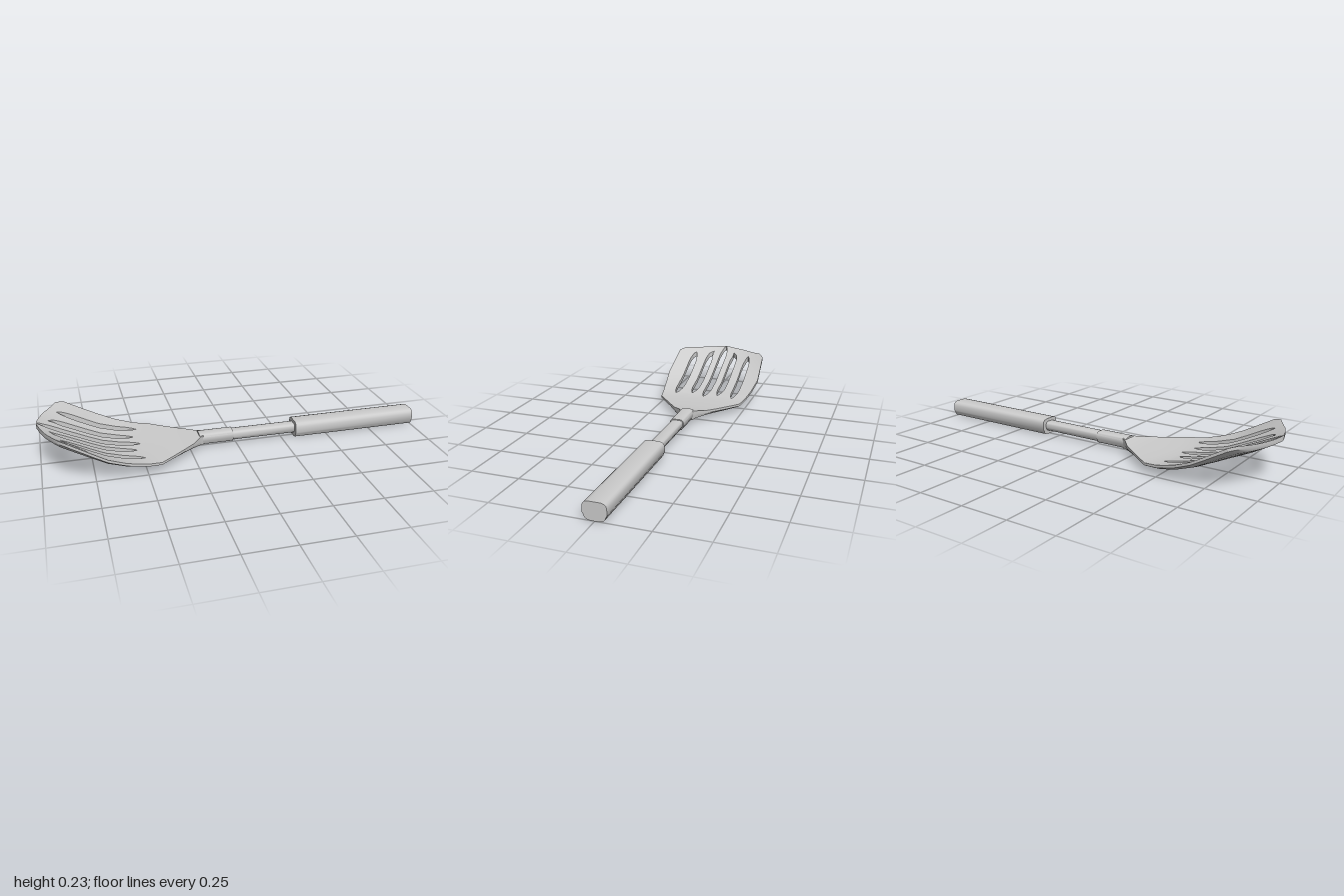
import * as THREE from 'three';
import { toCreasedNormals } from 'three/addons/utils/BufferGeometryUtils.js';

const material = new THREE.MeshStandardMaterial({ color: 0xcccccc, side: THREE.DoubleSide });

// Piecewise linear lookup in [[x, value], ...] with x falling
function lookup(table, x) {
  for (let i = 1; i < table.length; i++) {
    const [x0, v0] = table[i - 1], [x1, v1] = table[i];
    if (x >= x1) return v0 + (v1 - v0) * Math.min(1, Math.max(0, (x0 - x) / (x0 - x1)));
  }
  return table[table.length - 1][1];
}

// Blade rules along its length: half width, height of the centre line, thickness, side curl
const halfWidth = [[-0.19, 0.035], [-0.24, 0.09], [-0.43, 0.236], [-0.56, 0.26], [-0.69, 0.28],
  [-0.86, 0.268], [-0.9, 0.24], [-0.965, 0.125], [-0.985, 0.07], [-1, 0.015]];
const topHeight = [[-0.18, 0.071], [-0.25, 0.058], [-0.35, 0.053], [-0.5, 0.05], [-0.6, 0.062],
  [-0.7, 0.086], [-0.88, 0.168], [-0.945, 0.2], [-1, 0.227]];
const thickness = [[-0.18, 0.054], [-0.25, 0.025], [-0.43, 0.023], [-0.7, 0.026], [-0.9, 0.03], [-1, 0.025]];
const curl = [[-0.43, 0], [-0.69, 0.035], [-0.88, 0.06], [-1, 0.06]];
const stations = [-0.18, -0.2, -0.24, -0.3, -0.36, -0.43, -0.5, -0.525, -0.56, -0.6, -0.65, -0.69, -0.75,
  -0.8, -0.84, -0.86, -0.88, -0.9, -0.92, -0.945, -0.965, -0.985, -1];
const slots = [
  { z: -0.17, share: 0.7, start: -0.5, end: -0.9 },
  { z: -0.078, share: 0.4, start: -0.525, end: -0.945 },
  { z: 0, share: 0, start: -0.5, end: -1 },
  { z: 0.078, share: 0.4, start: -0.525, end: -0.945 },
  { z: 0.17, share: 0.7, start: -0.5, end: -0.9 },
];

function slotHalf(s, x) {
  const d = Math.min(s.start - x, x - s.end);
  return d <= 1e-6 ? 0 : 0.02 * Math.min(1, 0.3 + d / 0.1);
}

// Fingers between slots: [low z, high z] of each at one station
function fingers(x) {
  const edge = lookup(halfWidth, x), bounds = [-edge];
  for (const s of slots) {
    const c = Math.sign(s.z) * Math.min(Math.abs(s.z), edge * s.share);
    const w = Math.min(slotHalf(s, x), edge * 0.4);
    bounds.push(c - w, c + w);
  }
  bounds.push(edge);
  return slots.concat(0).map((_, i) => [bounds[2 * i], bounds[2 * i + 1]]);
}

function surface(x, z) {
  const edge = lookup(halfWidth, x);
  const top = lookup(topHeight, x) + lookup(curl, x) * (z / 0.27) ** 2;
  const rim = Math.abs(z) > edge - 1e-6 ? 0.55 : 1;
  return { t: [x, top, z], b: [x, top - lookup(thickness, x) * rim, z] };
}

function bladeGeometry() {
  const pos = [];
  const quad = (a, b, c, d) => pos.push(...a, ...b, ...c, ...a, ...c, ...d);
  const N = 3;
  for (let i = 0; i < stations.length - 1; i++) {
    const x0 = stations[i], x1 = stations[i + 1];
    const f0 = fingers(x0), f1 = fingers(x1);
    for (let k = 0; k < f0.length; k++) {
      const row = (x, [lo, hi]) => Array.from({ length: N + 1 }, (_, j) =>
        surface(x, j === N ? hi : lo + (hi - lo) * j / N));
      const r0 = row(x0, f0[k]), r1 = row(x1, f1[k]);
      for (let j = 0; j < N; j++) {
        quad(r0[j].t, r1[j].t, r1[j + 1].t, r0[j + 1].t);
        quad(r0[j].b, r0[j + 1].b, r1[j + 1].b, r1[j].b);
        if (i === stations.length - 2) quad(r1[j].t, r1[j].b, r1[j + 1].b, r1[j + 1].t);
      }
      // Walls only at the rim and where a slot is open
      const open = s => !s || slotHalf(s, x0) > 0 || slotHalf(s, x1) > 0;
      if (open(slots[k - 1])) quad(r0[0].t, r0[0].b, r1[0].b, r1[0].t);
      if (open(slots[k])) quad(r0[N].t, r1[N].t, r1[N].b, r0[N].b);
    }
  }
  const geo = new THREE.BufferGeometry();
  geo.setAttribute('position', new THREE.Float32BufferAttribute(pos, 3));
  return toCreasedNormals(geo, 0.5);
}

// Rounded bar along x with a flat-topped section
function bar(name, x0, x1, halfZ, y0, y1) {
  const half = [[0, 0], [0.4, 0.01], [0.72, 0.06], [0.84, 0.16], [0.9, 0.27], [1, 0.38],
    [1, 0.74], [0.93, 0.87], [0.8, 0.95], [0.52, 1]];
  const all = half.concat(half.slice(1).reverse().map(([u, v]) => [-u, v]));
  const shape = new THREE.Shape(all.map(([u, v]) => new THREE.Vector2(u * halfZ, y0 + v * (y1 - y0))));
  const geo = new THREE.ExtrudeGeometry(shape, { depth: x1 - x0, bevelEnabled: false });
  geo.rotateY(Math.PI / 2).translate(x0, 0, 0);
  const mesh = new THREE.Mesh(toCreasedNormals(geo, 0.7), material);
  mesh.name = name;
  return mesh;
}

export function createModel() {
  const group = new THREE.Group();
  group.name = 'slottedTurner';
  const blade = new THREE.Mesh(bladeGeometry(), material);
  blade.name = 'slottedBlade';
  group.add(
    blade,
    bar('collar', -0.2, -0.02, 0.037, 0.015, 0.076),
    bar('shaft', -0.03, 0.33, 0.032, 0.02, 0.071),
    bar('handle', 0.32, 1, 0.056, 0, 0.088),
  );
  return group;
}
